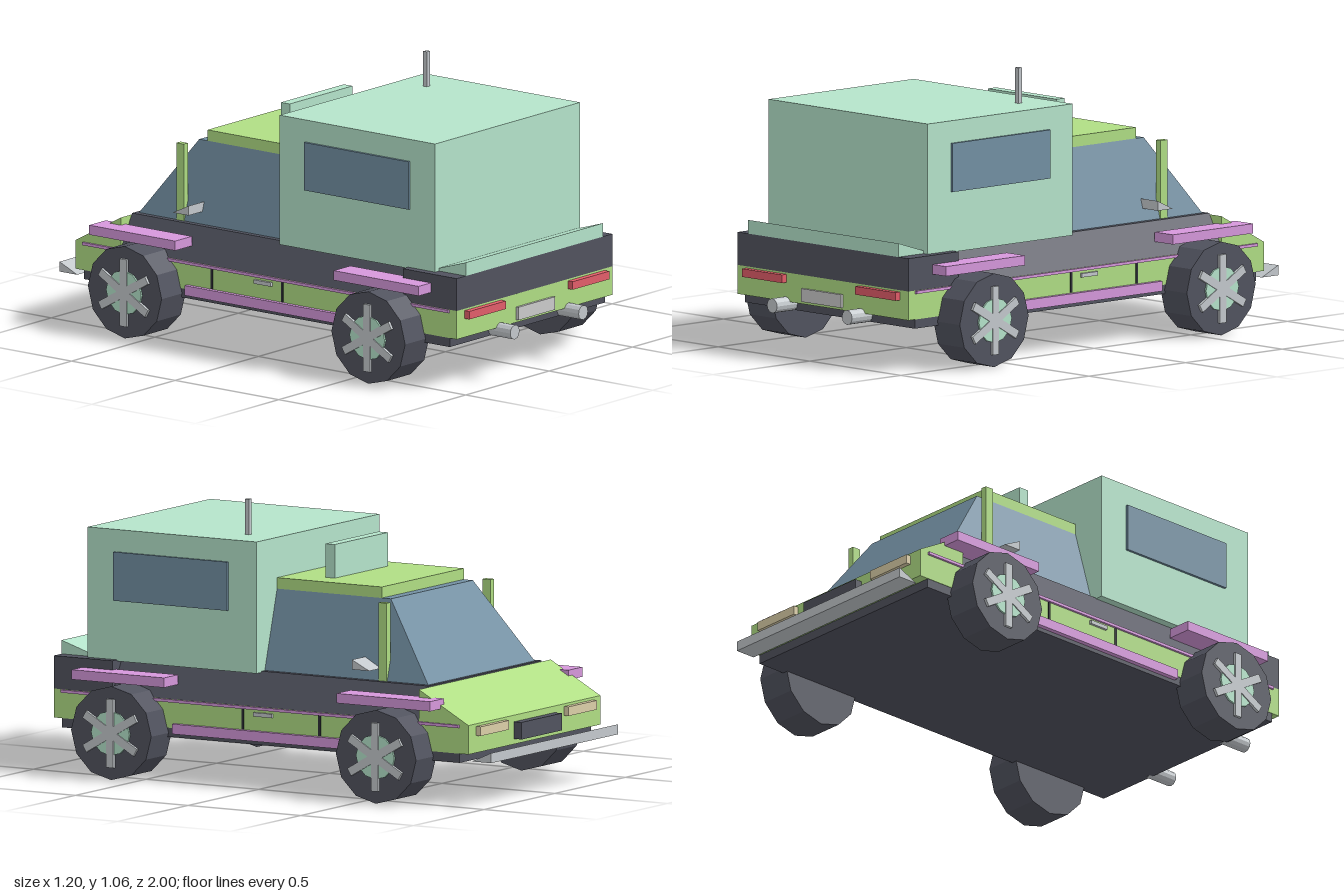
import * as THREE from 'three';

const mat = (color) => new THREE.MeshStandardMaterial({ color, flatShading: true });
const MINT = mat(0xb5e4cb), GREEN = mat(0xb0de84), PINK = mat(0xd698dc), DARK = mat(0x51535f);
const GLASS = mat(0x7390a3), METAL = mat(0xc4c9cd), RED = mat(0xe35d6a), BEIGE = mat(0xdccfa8);
const PLATE = mat(0xd6d6d2), BLACK = mat(0x2c2e36);

export function createModel() {
  const model = new THREE.Group();

  const add = (name, geometry, material, parent = model) => {
    const mesh = new THREE.Mesh(geometry, material);
    mesh.name = name;
    parent.add(mesh);
    return mesh;
  };
  // Box given by its limits on each axis
  const boxGeo = (x0, x1, y0, y1, z0, z1) =>
    new THREE.BoxGeometry(x1 - x0, y1 - y0, z1 - z0)
      .translate((x0 + x1) / 2, (y0 + y1) / 2, (z0 + z1) / 2);
  const box = (name, m, ...b) => add(name, boxGeo(...b), m);
  // The same box on both sides
  const pair = (name, m, x0, x1, ...b) => {
    box(name + 'Left', m, x0, x1, ...b);
    box(name + 'Right', m, -x1, -x0, ...b);
  };
  // Side profile of [z, y] points extruded across x
  const prism = (name, m, points, width, x = 0) => {
    const shape = new THREE.Shape(points.map(([z, y]) => new THREE.Vector2(z, y)));
    const geo = new THREE.ExtrudeGeometry(shape, { depth: width, bevelEnabled: false });
    geo.translate(0, 0, -width / 2).rotateY(-Math.PI / 2).translate(x, 0, 0);
    return add(name, geo, m);
  };
  // Box whose top is narrowed to topX and whose nose is drawn back to topZ
  const frustum = (name, m, halfX, topX, y0, y1, z0, z1, topZ) => {
    const geo = boxGeo(-halfX, halfX, y0, y1, z0, z1);
    const p = geo.attributes.position;
    for (let i = 0; i < p.count; i++) {
      if (p.getY(i) < (y0 + y1) / 2) continue;
      p.setX(i, Math.sign(p.getX(i)) * topX);
      if (p.getZ(i) < (z0 + z1) / 2) p.setZ(i, topZ);
    }
    geo.computeVertexNormals();
    return add(name, geo, m);
  };

  // Lower body, nose pointing to -z
  box('chassis', DARK, -0.465, 0.465, 0.165, 0.2, -0.87, 0.895);
  box('lowerBody', GREEN, -0.467, 0.467, 0.2, 0.31, -0.91, 0.93);
  prism('hood', GREEN, [[-0.91, 0.31], [-0.69, 0.31], [-0.69, 0.43]], 0.934);
  frustum('beltline', DARK, 0.467, 0.4, 0.31, 0.435, -0.69, 0.68, -0.69);
  box('tailBlock', DARK, -0.467, 0.467, 0.31, 0.435, 0.67, 0.93);
  prism('tailSpoiler', MINT, [[0.79, 0.435], [0.93, 0.435], [0.93, 0.487], [0.79, 0.443]], 0.824);

  // Cabin
  frustum('cabinGlass', GLASS, 0.377, 0.29, 0.435, 0.735, -0.675, 0.06, -0.455);
  box('roof', GREEN, -0.29, 0.29, 0.733, 0.777, -0.415, 0.06);
  box('roofSign', MINT, -0.188, 0.188, 0.775, 0.905, -0.142, -0.1);
  pair('pillar', GREEN, 0.355, 0.38, 0.435, 0.732, -0.493, -0.457);

  // Camper shell
  box('camper', MINT, -0.435, 0.435, 0.43, 0.93, 0.05, 0.8);
  pair('camperWindow', GLASS, 0.43, 0.445, 0.66, 0.845, 0.175, 0.68);
  box('antenna', METAL, 0.27, 0.29, 0.93, 1.065, 0.175, 0.193);

  // Side trim
  pair('fenderRear', PINK, 0.44, 0.54, 0.363, 0.4, 0.395, 0.805);
  pair('fenderFront', PINK, 0.44, 0.54, 0.363, 0.4, -0.785, -0.37);
  pair('rubStrip', PINK, 0.46, 0.476, 0.298, 0.309, -0.87, 0.895);
  pair('sill', PINK, 0.46, 0.484, 0.18, 0.218, -0.37, 0.395);
  pair('doorSeamRear', BLACK, 0.46, 0.471, 0.22, 0.297, 0.085, 0.095);
  pair('doorSeamFront', BLACK, 0.46, 0.471, 0.22, 0.297, -0.255, -0.245);
  pair('doorHandle', METAL, 0.46, 0.477, 0.273, 0.288, -0.042, 0.04);
  for (const s of [1, -1]) {
    prism(s > 0 ? 'mirrorLeft' : 'mirrorRight', METAL,
      [[-0.38, 0.48], [-0.38, 0.517], [-0.457, 0.48]].reverse(), 0.093, s * 0.4);
  }

  // Tail
  pair('tailLight', RED, 0.2, 0.42, 0.272, 0.303, 0.925, 0.953);
  box('rearPlate', PLATE, -0.11, 0.11, 0.21, 0.26, 0.925, 0.941);
  for (const s of [1, -1]) {
    const pipe = add('exhaust', new THREE.CylinderGeometry(0.028, 0.028, 0.12, 12), METAL);
    pipe.rotation.x = Math.PI / 2;
    pipe.position.set(s * 0.205, 0.19, 0.94);
  }

  // Nose
  pair('headlight', BEIGE, 0.21, 0.412, 0.265, 0.3, -0.93, -0.9);
  box('grille', DARK, -0.143, 0.143, 0.22, 0.285, -0.943, -0.9);
  prism('frontSplitter', METAL, [[-1, 0.172], [-0.915, 0.172], [-1, 0.21]], 0.9);

  // Wheels with hub and three crossing bars
  for (const z of [0.6, -0.575]) {
    for (const s of [1, -1]) {
      const wheel = new THREE.Group();
      wheel.name = (z > 0 ? 'rear' : 'front') + 'Wheel' + (s > 0 ? 'Left' : 'Right');
      wheel.position.set(s * 0.515, 0.18, z);
      add('tyre', new THREE.CylinderGeometry(0.178, 0.178, 0.144, 12).rotateZ(Math.PI / 2), DARK, wheel);
      add('hub', new THREE.CylinderGeometry(0.085, 0.085, 0.02, 12).rotateZ(Math.PI / 2), MINT, wheel)
        .position.x = s * 0.069;
      for (let i = 0; i < 3; i++) {
        const bar = add('spokeBar', new THREE.BoxGeometry(0.02, 0.26, 0.032), METAL, wheel);
        bar.position.x = s * 0.073;
        bar.rotation.x = i * Math.PI / 3;
      }
      model.add(wheel);
    }
  }
  return model;
}
